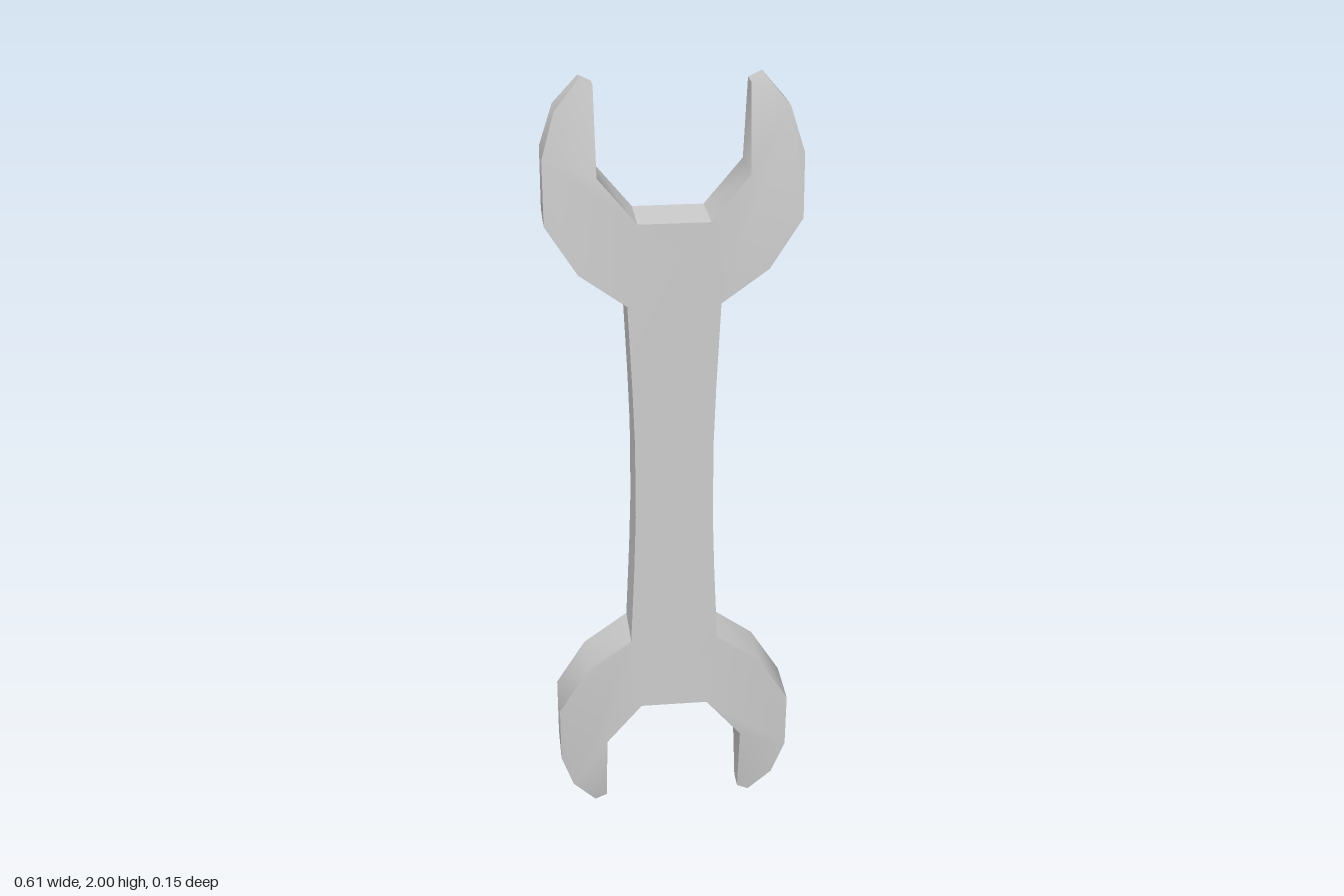
import * as THREE from 'three';
import { toCreasedNormals } from 'three/addons/utils/BufferGeometryUtils.js';

// One quarter of the outline, measured from the centre of the handle
const quarter = [
  [0.098, 0.1], [0.103, 0.25], [0.113, 0.465],             // handle edge
  [0.228, 0.548], [0.305, 0.67], [0.305, 0.825],           // outside of the jaw
  [0.273, 0.93], [0.213, 1.0],                             // jaw tip
  [0.182, 0.983], [0.18, 0.78], [0.087, 0.668],            // inside of the jaw
];

// Half thickness by distance from the centre: the jaws thin towards their tips
const taper = [[0, 0.074], [0.67, 0.073], [0.78, 0.069], [0.825, 0.064], [0.93, 0.042], [1, 0.021]];

function halfThickness(d) {
  for (let i = 1; i < taper.length; i++) {
    const [d0, t0] = taper[i - 1], [d1, t1] = taper[i];
    if (d <= d1) return THREE.MathUtils.mapLinear(d, d0, d1, t0, t1);
  }
  return taper[taper.length - 1][1];
}

export function createModel() {
  const group = new THREE.Group();
  group.name = 'doubleEndedWrench';

  // Mirror the quarter into the full counter-clockwise outline
  const place = (sx, sy) => quarter.map(([x, y]) => new THREE.Vector2(sx * x, sy * y));
  const outline = [
    ...place(1, 1), ...place(-1, 1).reverse(),
    ...place(-1, -1), ...place(1, -1).reverse(),
  ];

  // Extrude a slab, then thin it by the taper
  const slab = new THREE.ExtrudeGeometry(new THREE.Shape(outline), { depth: 1, bevelEnabled: false });
  const pos = slab.attributes.position;
  for (let i = 0; i < pos.count; i++) {
    const side = pos.getZ(i) > 0.5 ? 1 : -1;
    pos.setZ(i, side * halfThickness(Math.abs(pos.getY(i))));
  }
  slab.translate(0, 1, 0);

  const wrench = new THREE.Mesh(
    toCreasedNormals(slab, THREE.MathUtils.degToRad(50)),
    new THREE.MeshStandardMaterial({ color: 0xcccccc }),
  );
  wrench.name = 'wrenchBody';
  group.add(wrench);
  return group;
}
